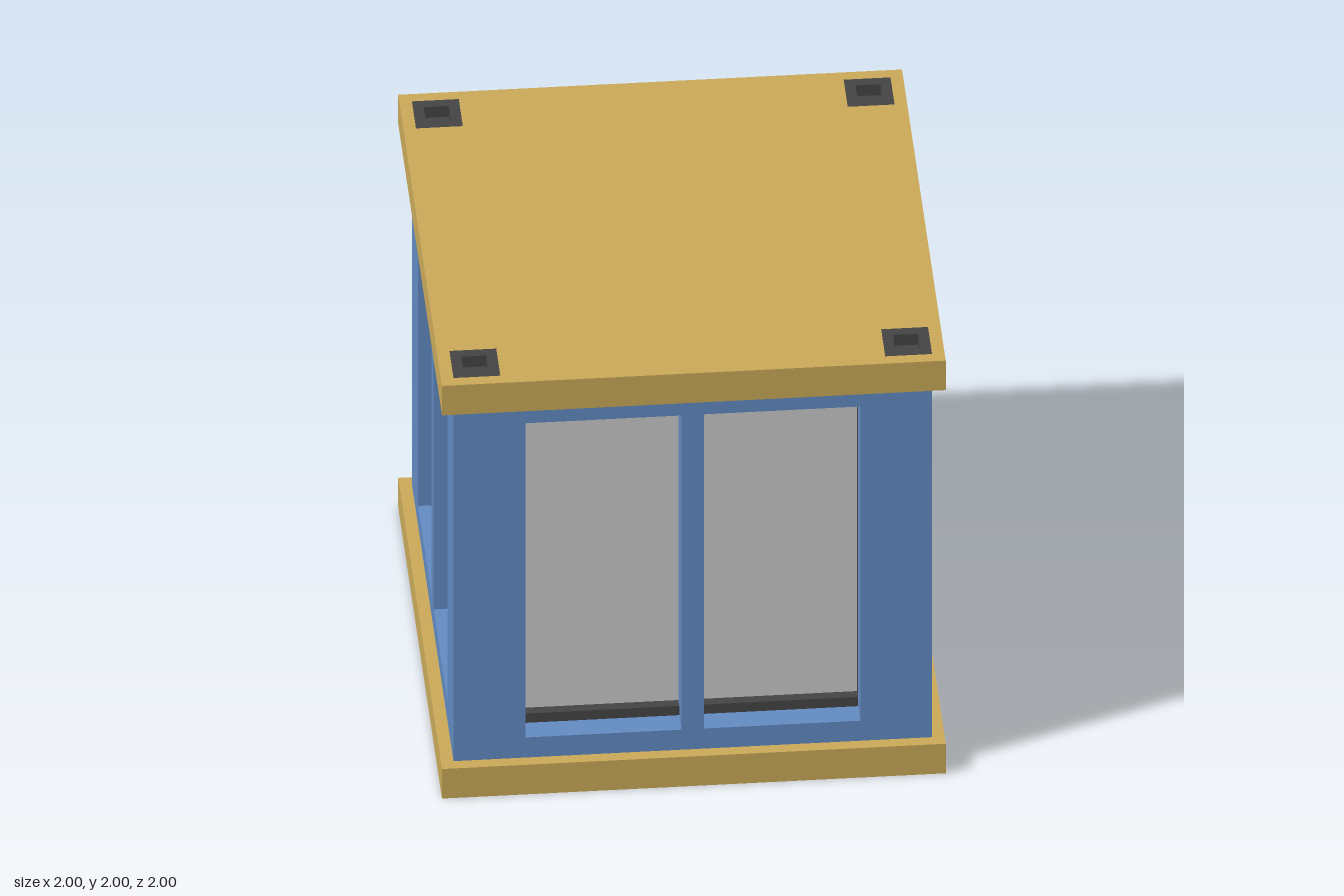
import * as THREE from 'three';

const mat = (name, color) => new THREE.MeshStandardMaterial({ name, color });

// Rectangle outline from two corners
function rect(x0, y0, x1, y1, Type = THREE.Shape) {
  const r = new Type();
  r.moveTo(x0, y0);
  r.lineTo(x1, y0);
  r.lineTo(x1, y1);
  r.lineTo(x0, y1);
  r.closePath();
  return r;
}

// Flat slab with rectangular holes, lying in xy and extruded along +z
function slab(outer, holes, depth) {
  const shape = rect(...outer);
  shape.holes = holes.map((h) => rect(...h, THREE.Path));
  return new THREE.ExtrudeGeometry(shape, { depth, bevelEnabled: false });
}

export function createModel() {
  const gold = mat('gold trim', 0xc9a858);
  const blue = mat('blue wall', 0x628ac2);
  const grey = mat('light grey pane', 0xc8c8c8);
  const dark = mat('dark grey frame', 0x444444);

  const model = new THREE.Group();
  model.name = 'windowedCabinet';

  const add = (parent, name, geometry, material, x = 0, y = 0, z = 0) => {
    const mesh = new THREE.Mesh(geometry, material);
    mesh.name = name;
    mesh.position.set(x, y, z);
    parent.add(mesh);
    return mesh;
  };

  const H = 0.95;            // half width of the body
  const wallT = 0.1;         // wall thickness
  const frameT = 0.04;       // inner frame thickness
  const base = 0.143, top = 1.857;
  const winX = 0.665, mull = 0.045, winY0 = 0.24, winY1 = 1.763;

  // Base plate
  add(model, 'basePlate', new THREE.BoxGeometry(2, base, 2), gold, 0, base / 2, 0);

  // Lid with a square socket opening at each corner
  const c = 0.857, s = 0.093, hole = 0.05;
  const corners = [[-c, -c], [c, -c], [c, c], [-c, c]];
  const lid = slab([-1, -1, 1, 1], corners.map(([x, z]) => [x - s, z - s, x + s, z + s]), 2 - top);
  lid.rotateX(-Math.PI / 2);
  add(model, 'lid', lid, gold, 0, top, 0);

  // Hollow corner sockets, flush with the lid
  const socket = slab([-s, -s, s, s], [[-hole, -hole, hole, hole]], 2 - top);
  socket.rotateX(-Math.PI / 2);
  const floor = new THREE.BoxGeometry(hole * 2, 0.09, hole * 2);
  for (const [x, z] of corners) {
    add(model, 'cornerSocket', socket, dark, x, top, z);
    add(model, 'socketFloor', floor, dark, x, top + 0.045, z);
  }

  // Four identical sides; each wall butts against its neighbour
  const wall = slab(
    [-H, base, H - wallT, top],
    [[-winX, winY0, -mull, winY1], [mull, winY0, winX, winY1]], wallT);
  const frame = slab([-0.71, 0.2, 0.71, 1.81], [[-winX, 0.285, winX, 1.718]], frameT);
  const mullion = new THREE.BoxGeometry(mull * 2, 1.433, frameT);
  const pane = new THREE.BoxGeometry(1.42, 1.6, 0.02);

  ['front', 'left', 'back', 'right'].forEach((name, i) => {
    const side = new THREE.Group();
    side.name = name + 'Side';
    side.rotation.y = i * Math.PI / 2;
    add(side, 'wall', wall, blue, 0, 0, H - wallT);
    add(side, 'windowFrame', frame, dark, 0, 0, H - wallT - frameT);
    add(side, 'mullionBack', mullion, blue, 0, 1.0015, H - wallT - frameT / 2);
    add(side, 'windowPane', pane, grey, 0, 1, H - wallT - frameT - 0.01);
    model.add(side);
  });

  return model;
}
